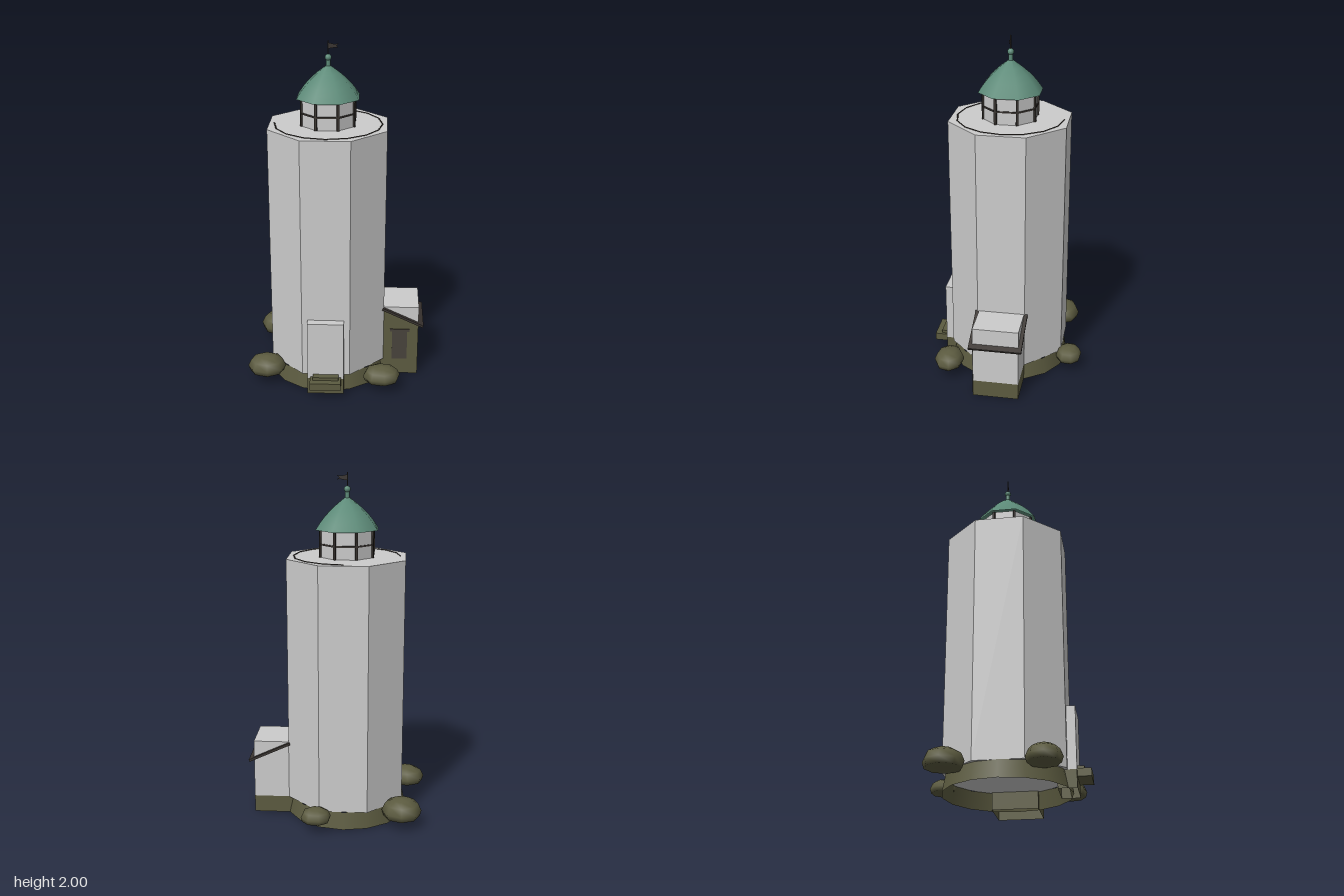
import * as THREE from 'three';

const mat = (name, color) => {
  const m = new THREE.MeshStandardMaterial({ color, side: THREE.DoubleSide });
  m.name = name;
  return m;
};

// Faceted copy of a geometry
function flat(geo) {
  const g = geo.index ? geo.toNonIndexed() : geo;
  g.computeVertexNormals();
  return g;
}

export function createModel() {
  const root = new THREE.Group();
  root.name = 'lighthouse';
  const plaster = mat('plaster grey', 0xcccccc);
  const olive = mat('olive', 0x5c5b40);
  const copper = mat('copper green', 0x5c8a78);
  const dark = mat('dark timber', 0x393430);
  const doorMat = mat('door brown', 0x48433c);

  const add = (name, geo, material, parent = root) => {
    const mesh = new THREE.Mesh(geo, material);
    mesh.name = name;
    parent.add(mesh);
    return mesh;
  };
  // Box given by its minimum and maximum corners
  const box = (name, material, [x0, y0, z0], [x1, y1, z1], parent = root) => {
    const mesh = add(name, new THREE.BoxGeometry(x1 - x0, y1 - y0, z1 - z0), material, parent);
    mesh.position.set((x0 + x1) / 2, (y0 + y1) / 2, (z0 + z1) / 2);
    return mesh;
  };
  // Four walls without floor or ceiling
  const walls = (name, material, [x0, y0, z0], [x1, y1, z1]) => {
    const g = new THREE.CylinderGeometry(Math.SQRT1_2, Math.SQRT1_2, 1, 4, 1, true, Math.PI / 4);
    g.scale(x1 - x0, y1 - y0, z1 - z0);
    const mesh = add(name, flat(g), material);
    mesh.position.set((x0 + x1) / 2, (y0 + y1) / 2, (z0 + z1) / 2);
  };

  // Everything on the tower axis
  const tower = new THREE.Group();
  tower.name = 'tower';
  tower.position.x = -0.05;
  root.add(tower);
  const octagon = (r, h) => flat(new THREE.CylinderGeometry(r, r, h, 8, 1, false, Math.PI / 8));

  add('towerBody', octagon(0.361, 1.43), plaster, tower).position.y = 0.815;
  add('plinth', new THREE.CylinderGeometry(0.338, 0.357, 0.1, 16, 1, true), olive, tower).position.y = 0.05;

  // Gallery rail, three quarters of a circle
  const rail = add('galleryRail', new THREE.TorusGeometry(0.306, 0.004, 4, 12, Math.PI * 1.5), dark, tower);
  rail.rotation.set(Math.PI / 2, 0, -Math.PI / 2, 'YXZ');
  rail.position.y = 1.53;

  // Lantern room with posts and a middle bar on every side
  add('lanternRoom', octagon(0.158, 0.16), plaster, tower).position.y = 1.61;
  for (let i = 0; i < 8; i++) {
    const a = (i + 0.5) * Math.PI / 4, b = i * Math.PI / 4;
    const post = add('lanternPost', new THREE.BoxGeometry(0.014, 0.16, 0.014), dark, tower);
    post.position.set(Math.sin(a) * 0.158, 1.61, Math.cos(a) * 0.158);
    post.rotation.y = a;
    const bar = add('lanternBar', new THREE.BoxGeometry(0.122, 0.009, 0.009), dark, tower);
    bar.position.set(Math.sin(b) * 0.147, 1.604, Math.cos(b) * 0.147);
    bar.rotation.y = b;
  }

  // Dome, finial, pole and flag
  const dome = [[0.188, 1.685], [0.163, 1.722], [0.136, 1.755], [0.105, 1.787], [0.065, 1.822], [0.015, 1.86]]
    .map(([r, y]) => new THREE.Vector2(r, y));
  add('domeRoof', new THREE.LatheGeometry(dome.reverse(), 8, Math.PI / 8), copper, tower);
  add('finialNeck', new THREE.CylinderGeometry(0.012, 0.014, 0.05, 8), copper, tower).position.y = 1.877;
  add('finialBall', new THREE.SphereGeometry(0.019, 10, 8), copper, tower).position.y = 1.907;
  add('flagPole', new THREE.CylinderGeometry(0.003, 0.003, 0.09, 6), dark, tower).position.y = 1.955;
  const flag = new THREE.Shape([[0, 1.955], [0.04, 1.962], [0.058, 1.96], [0.045, 1.971],
    [0.058, 1.984], [0.035, 1.98], [0, 1.988]].map(p => new THREE.Vector2(...p)));
  add('flag', new THREE.ShapeGeometry(flag), dark, tower);

  // Entrance porch and steps
  box('porch', plaster, [-0.155, 0.1, 0.28], [0.055, 0.455, 0.383]);
  walls('porchPlinth', olive, [-0.155, 0, 0.28], [0.055, 0.1, 0.383]);
  box('lowerStep', olive, [-0.138, 0.066, 0.375], [0.04, 0.11, 0.459]);
  box('upperStep', olive, [-0.122, 0.11, 0.375], [0.026, 0.128, 0.421]);

  // Side annex with an olive front, door and sloping roof
  box('annex', plaster, [0.24, 0.1, -0.135], [0.49, 0.445, 0.13]);
  walls('annexPlinth', olive, [0.24, 0, -0.135], [0.49, 0.1, 0.13]);
  const front = new THREE.Shape([[0.28, 0], [0.49, 0], [0.49, 0.335], [0.28, 0.435]]
    .map(p => new THREE.Vector2(...p)));
  add('annexFront', new THREE.ShapeGeometry(front), olive).position.z = 0.132;
  box('annexDoor', doorMat, [0.335, 0.1, 0.13], [0.425, 0.295, 0.136]);
  box('annexLintel', doorMat, [0.322, 0.285, 0.13], [0.437, 0.301, 0.138]);
  const roof = add('annexRoof', new THREE.BoxGeometry(0.266, 0.014, 0.306), dark);
  roof.position.set(0.396, 0.383, -0.002);
  roof.rotation.z = -Math.atan2(0.11, 0.24);

  // Bushes: [x, z, half width, half depth, height, turn]
  const bushes = [
    [-0.385, -0.283, 0.115, 0.112, 0.108, 0],
    [0.103, -0.383, 0.088, 0.078, 0.078, 0.3],
    [-0.408, 0.24, 0.112, 0.098, 0.098, 0.1],
    [0.275, 0.318, 0.11, 0.087, 0.088, 0.2],
  ];
  const profile = [[0, 0], [0.9, 0], [1, 0.32], [0.83, 0.72], [0.45, 0.94], [0, 1]]
    .map(p => new THREE.Vector2(...p));
  for (const [x, z, w, d, h, turn] of bushes) {
    const g = new THREE.LatheGeometry(profile, 8, turn);
    g.scale(w, h, d);
    add('bush', g, olive).position.set(x, 0.066, z);
  }
  return root;
}
